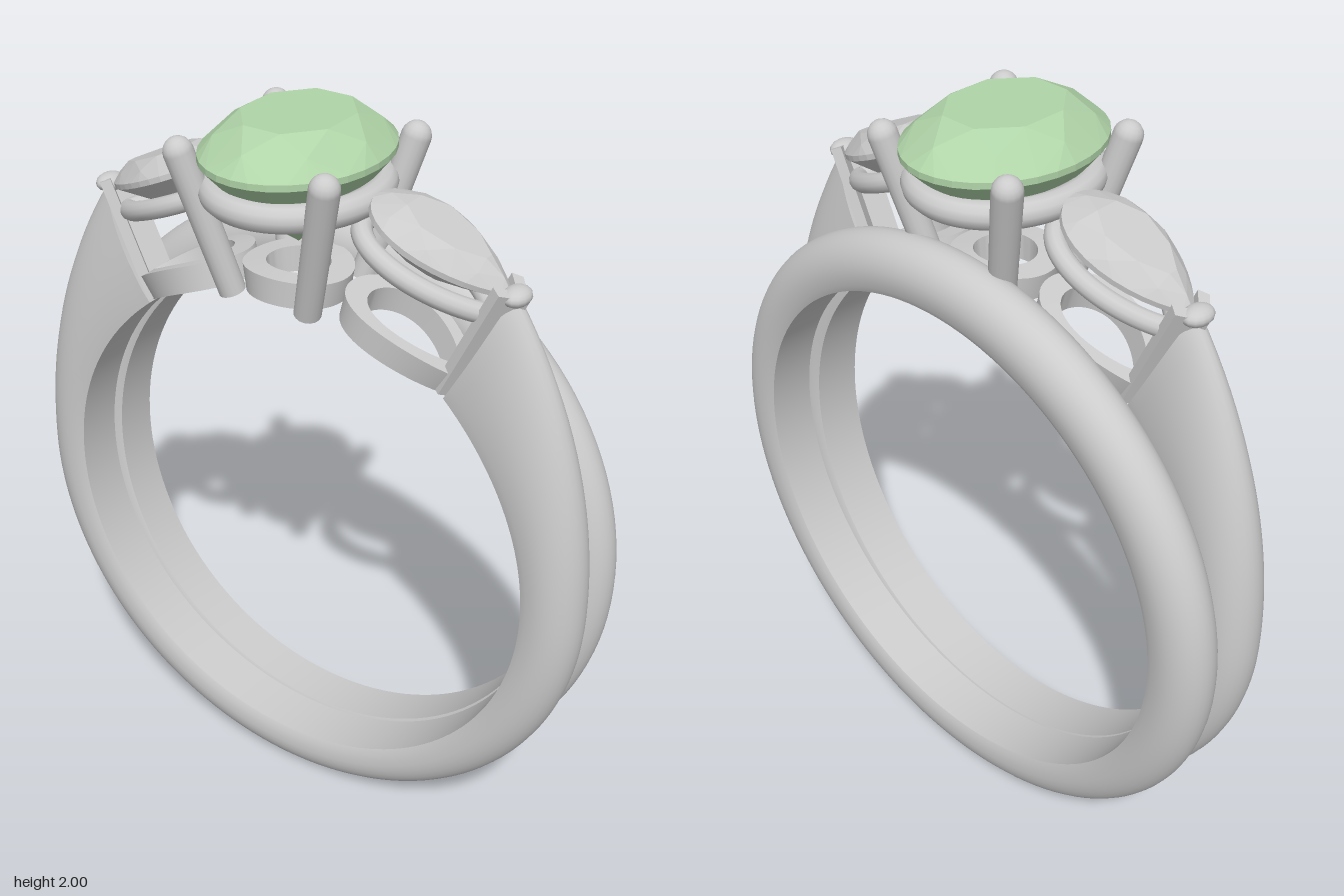
import * as THREE from 'three';
import { toCreasedNormals } from 'three/addons/utils/BufferGeometryUtils.js';
import { ConvexGeometry } from 'three/addons/geometries/ConvexGeometry.js';

const CY = 0.85, INNER = 0.705, OUTER = 0.845; // finger hole centre and band radii
const metal = new THREE.MeshStandardMaterial({ color: 0xcccccc });
const facetedClear = new THREE.MeshStandardMaterial({ color: 0xcccccc, flatShading: true });
const facetedGreen = new THREE.MeshStandardMaterial({ color: 0xb0d4a8, flatShading: true });
const rad = THREE.MathUtils.degToRad;

function add(parent, name, geometry, material = metal) {
  const mesh = new THREE.Mesh(geometry, material);
  mesh.name = name;
  parent.add(mesh);
  return mesh;
}

// Surface from rows of closed cross-sections; point(i, j) returns [x, y, z]
function sweep(rows, cols, point, crease = 0.6) {
  const pos = [], index = [];
  for (let i = 0; i <= rows; i++) {
    for (let j = 0; j < cols; j++) pos.push(...point(i, j));
  }
  for (let i = 0; i < rows; i++) {
    for (let j = 0; j < cols; j++) {
      const k = (j + 1) % cols, a = i * cols, b = a + cols;
      index.push(a + j, b + j, b + k, a + j, b + k, a + k);
    }
  }
  const geo = new THREE.BufferGeometry();
  geo.setAttribute('position', new THREE.Float32BufferAttribute(pos, 3));
  geo.setIndex(index);
  return toCreasedNormals(geo, crease);
}

// Comfort band section: [across, radial fraction], flat inside and domed outside
const section = [[0.86, 0], [-0.86, 0], [-0.96, 0.12]];
for (let i = 0; i <= 16; i++) {
  const a = Math.PI * i / 16;
  section.push([-Math.cos(a), 0.36 + 0.64 * Math.sin(a)]);
}
section.push([0.96, 0.12]);

function weddingBand() {
  return sweep(128, section.length, (i, j) => {
    const a = i / 128 * Math.PI * 2, [w, t] = section[j];
    const r = INNER + (OUTER - INNER) * t;
    return [r * Math.cos(a), r * Math.sin(a), w * 0.076];
  });
}

// Shank rises into two tapered shoulders; the first and last rows close the ends
function shank() {
  const n = 120, end = 51;
  return sweep(n, section.length, (i, j) => {
    const row = THREE.MathUtils.clamp(i, 1, n - 1);
    const s = (row - 1) / (n - 2) * 2 - 1;               // -1 left tip, 1 right tip
    const fromBottom = s * (90 + end);
    const k = Math.max(0, (Math.abs(fromBottom) - 90) / end);
    const [w, t] = i === row ? section[j] : [0, 0.5];
    const r = INNER + (OUTER + 0.185 * k * k - INNER) * t;
    const a = rad(fromBottom - 90 + Math.sign(s) * 4 * t * k);
    const half = 0.08 - 0.026 * k * k * k;
    return [r * Math.cos(a), CY + r * Math.sin(a), w * half];
  });
}

const oval = (t) => [Math.cos(t), Math.sin(t)];
const pear = (t) => [Math.cos(t), 1.2 * Math.sin(t) * Math.pow(Math.abs(Math.sin(t / 2)), 0.6)];

// Cut stone: hull over scaled outline rings [scale, y, points, offset]
function gem(outline, rx, rz, rings) {
  const pts = [];
  for (const [scale, y, count, shift] of rings) {
    for (let i = 0; i < count; i++) {
      const [x, z] = outline((i + shift) / count * Math.PI * 2);
      pts.push(new THREE.Vector3(x * rx * scale, y, z * rz * scale));
    }
  }
  pts.push(new THREE.Vector3(0, rings.culet, 0));
  return new ConvexGeometry(pts);
}

function cut(crown, girdle, pavilion, culet) {
  const rings = [
    [0.6, crown, 8, 0.5], [0.84, crown * 0.58, 8, 0], [1, girdle / 2, 32, 0],
    [1, -girdle / 2, 32, 0], [0.52, pavilion, 8, 0.5],
  ];
  rings.culet = culet;
  return rings;
}

// Round wire following an outline in the xz plane
function wire(outline, rx, rz, radius) {
  const pts = [];
  for (let i = 0; i < 40; i++) {
    const [x, z] = outline(i / 40 * Math.PI * 2);
    pts.push(new THREE.Vector3(x * rx, 0, z * rz));
  }
  return new THREE.TubeGeometry(new THREE.CatmullRomCurve3(pts, true), 96, radius, 12, true);
}

// Flat-sided loop wrapped on the finger hole, around angle a0 from the top
function galleryLoop(outline, a0, halfAngle, halfWidth, hole, height) {
  const corners = [[1, height], [1, 0.002], [hole, 0.002], [hole, height]];
  return sweep(64, 4, (i, j) => {
    const [u, w] = outline(i / 64 * Math.PI * 2), [scale, h] = corners[j];
    const a = a0 + u * scale * halfAngle, r = INNER + h;
    return [r * Math.sin(a), CY + r * Math.cos(a), w * scale * halfWidth];
  });
}

// Tapered rod between two points with a rounded tip
function prong(parent, name, from, to, r0, r1) {
  const g = new THREE.Group();
  g.name = name;
  const dir = to.clone().sub(from), len = dir.length();
  add(g, 'prongRod', new THREE.CylinderGeometry(r1, r0, len, 16)).position.y = len / 2;
  add(g, 'prongTip', new THREE.SphereGeometry(r1, 16, 10)).position.y = len;
  g.position.copy(from);
  g.quaternion.setFromUnitVectors(new THREE.Vector3(0, 1, 0), dir.normalize());
  parent.add(g);
}

// One side: pear stone, its rail, lower loop and the V-shaped prong at the shoulder
function sideSetting(name) {
  const side = new THREE.Group();
  side.name = name;
  const head = new THREE.Group();
  head.name = 'pearHead';
  head.position.set(0.395, 1.765, 0);
  head.rotation.z = rad(-24);
  add(head, 'pearStone', gem(pear, 0.195, 0.118, cut(0.05, 0.014, -0.055, -0.095)), facetedClear);
  add(head, 'pearRail', wire(pear, 0.185, 0.1, 0.026)).position.set(-0.005, -0.07, 0);
  side.add(head);
  add(side, 'lowerPearLoop', galleryLoop(pear, rad(26), rad(14.5), 0.118, 0.7, 0.07));

  const v = new THREE.Shape([[0.035, 0], [-0.02, 0.06], [-0.045, 0.045], [-0.002, 0],
    [-0.045, -0.045], [-0.02, -0.06]].map(([x, y]) => new THREE.Vector2(x, y)));
  const foot = new THREE.Vector3(0.455, 1.405, 0), top = new THREE.Vector3(0.592, 1.7, 0);
  const d = top.clone().sub(foot), depth = d.length();
  d.normalize();
  const geo = new THREE.ExtrudeGeometry(v, { depth, bevelEnabled: false });
  geo.applyMatrix4(new THREE.Matrix4().makeBasis(
    new THREE.Vector3(d.y, -d.x, 0), new THREE.Vector3(0, 0, -1), d).setPosition(foot));
  add(side, 'vProng', geo);
  const cap = add(side, 'vProngCap', new THREE.SphereGeometry(0.034, 14, 10));
  cap.position.set(0.59, 1.69, 0);
  cap.scale.set(1, 0.7, 1.3);
  return side;
}

export function createModel() {
  const model = new THREE.Group();
  model.name = 'ringSet';

  // Bands; the plain one leans slightly away from the setting
  add(model, 'engagementShank', shank());
  const band = add(model, 'weddingBand', weddingBand());
  band.position.set(0, CY, -0.167);
  band.rotation.x = -0.036;

  // Centre setting
  const centre = new THREE.Group();
  centre.name = 'centreSetting';
  model.add(centre);
  add(centre, 'ovalStone', gem(oval, 0.22, 0.271, cut(0.087, 0.016, -0.14, -0.24)), facetedGreen)
    .position.y = 1.913;
  add(centre, 'ovalRail', wire(oval, 0.195, 0.225, 0.035)).position.y = 1.825;
  add(centre, 'lowerOvalLoop', galleryLoop(oval, 0, rad(10.5), 0.13, 0.58, 0.07));
  for (const x of [-1, 1]) {
    for (const z of [-1, 1]) {
      prong(centre, 'centreProng', new THREE.Vector3(x * 0.11, 1.56, z * 0.125),
        new THREE.Vector3(x * 0.202, 1.92, z * 0.198), 0.034, 0.037);
    }
  }

  // Side settings, turned half round for the other side
  model.add(sideSetting('leftSetting'));
  const right = sideSetting('rightSetting');
  right.rotation.y = Math.PI;
  model.add(right);
  return model;
}
